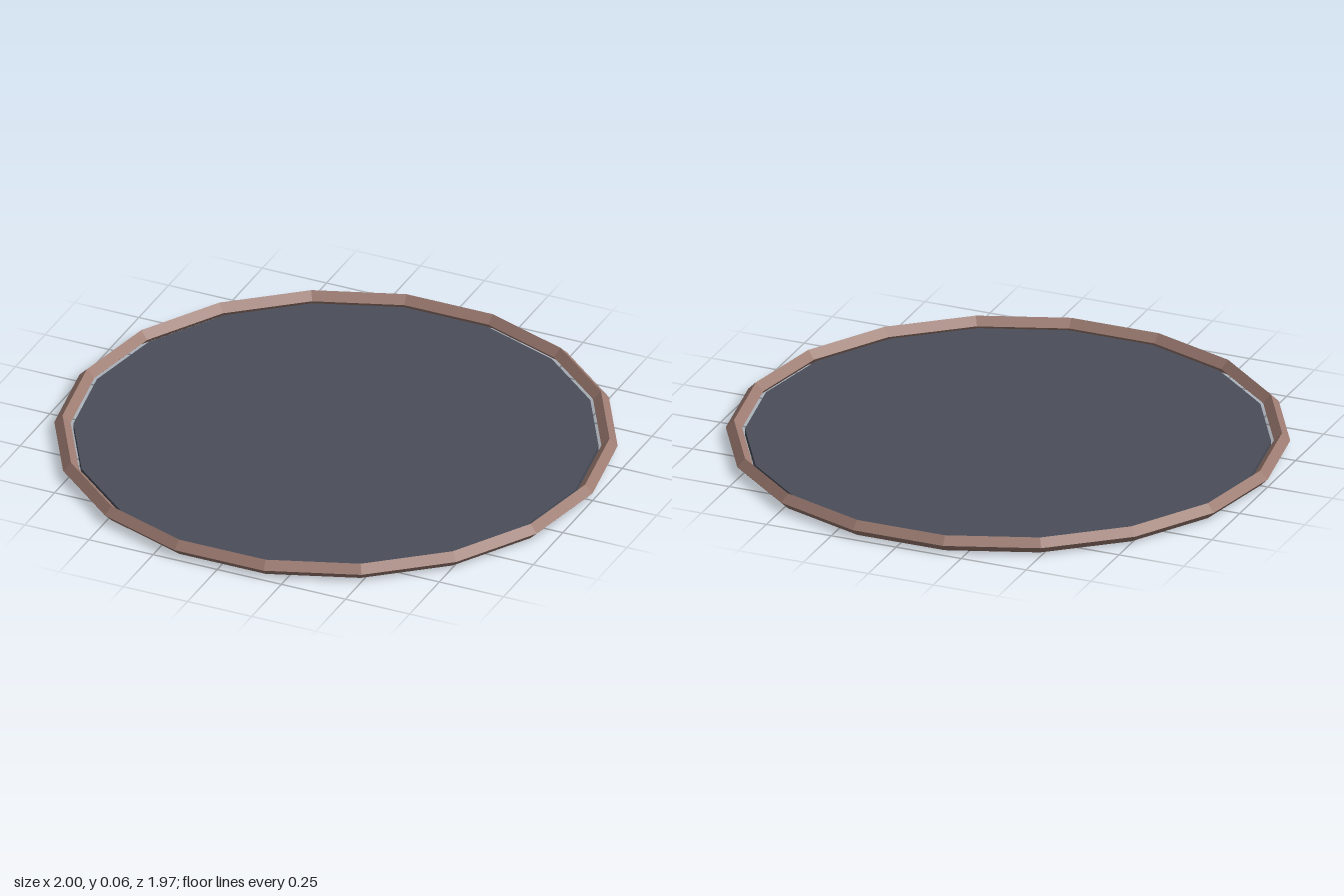
import * as THREE from 'three';

const SIDES = 18;

export function createModel() {
  const group = new THREE.Group();
  group.name = 'roundTray';

  // Faceted rim with a diamond cross-section
  const tube = 0.029;
  const rimGeometry = new THREE.TorusGeometry(1 - tube, tube, 4, SIDES);
  rimGeometry.rotateX(Math.PI / 2);
  const rim = new THREE.Mesh(
    rimGeometry,
    new THREE.MeshStandardMaterial({ color: 0x9c7b71, flatShading: true })
  );
  rim.name = 'rim';
  rim.position.y = tube;
  group.add(rim);

  // Thin plate set in the lower half of the rim, with a narrow gap around it
  const bottom = 0.0015, top = 0.0267;
  const plateGeometry = new THREE.CylinderGeometry(0.932, 0.932, top - bottom, SIDES);
  plateGeometry.rotateY(Math.PI / 2); // corners line up with the rim
  const plate = new THREE.Mesh(
    plateGeometry,
    new THREE.MeshStandardMaterial({ color: 0x4a4e5a, flatShading: true })
  );
  plate.name = 'plate';
  plate.position.y = (top + bottom) / 2;
  group.add(plate);

  return group;
}
